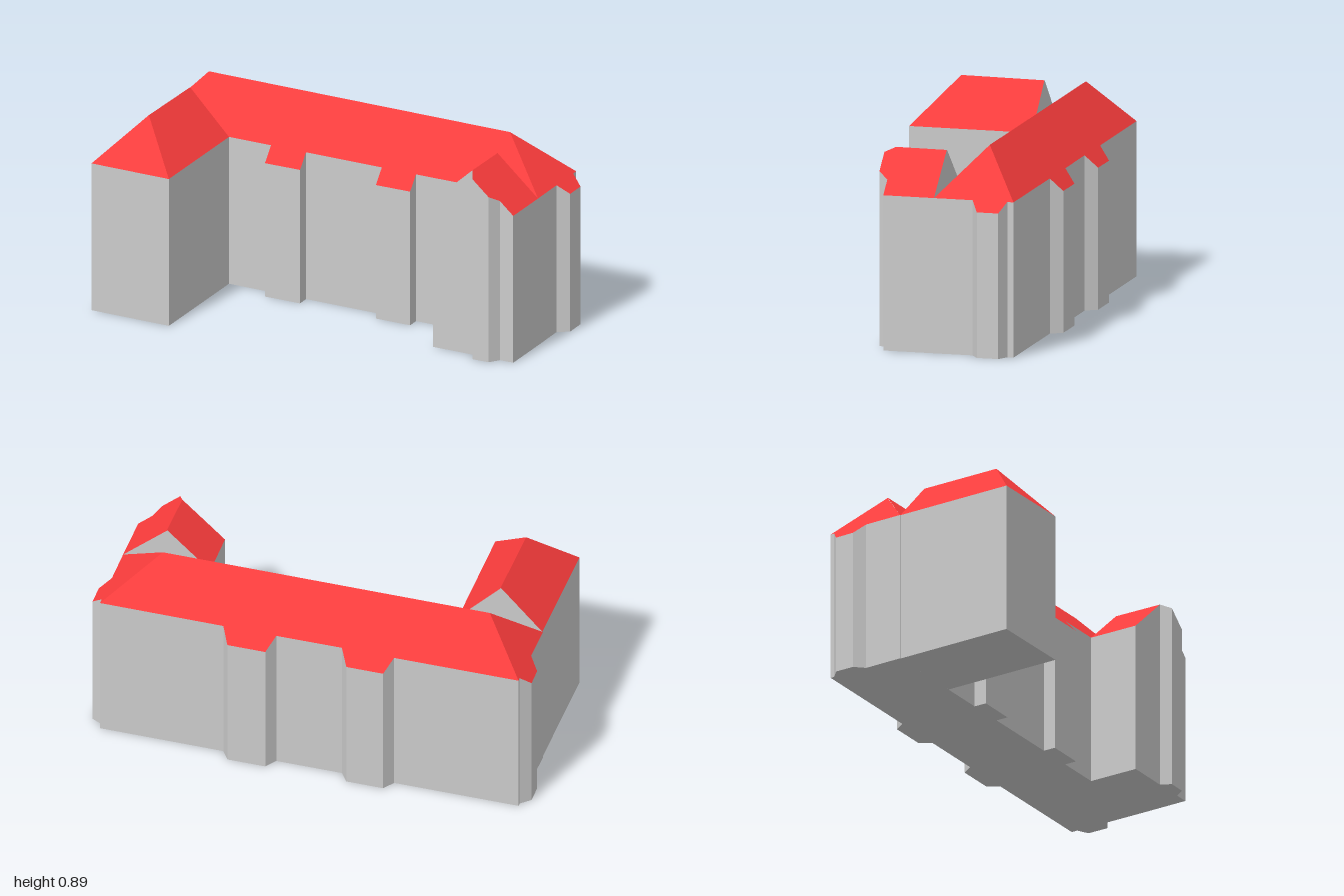
import * as THREE from 'three';

const EAVE = 0.69;
const wallMaterial = new THREE.MeshStandardMaterial({ color: 0xcccccc, flatShading: true });
const roofMaterial = new THREE.MeshStandardMaterial({ color: 0xff3d3d, flatShading: true });

// Mesh from a flat list of triangle corners
function triMesh(name, corners, material) {
  const geo = new THREE.BufferGeometry().setFromPoints(corners);
  geo.computeVertexNormals();
  const mesh = new THREE.Mesh(geo, material);
  mesh.name = name;
  return mesh;
}

// Triangulates a plan outline of [x, z] points, counterclockwise from above
function planTriangles(points) {
  const flat = points.map(([x, z]) => new THREE.Vector2(x, -z));
  return THREE.ShapeUtils.triangulateShape(flat, []);
}

// A wing of the house. Each slope has a plane through two eave points and a
// ridge point, an outer wall path in plan, and the ridge points closing it.
function buildWing(name, ridgeHeight, slopes) {
  const group = new THREE.Group();
  group.name = name;
  const walls = [], roof = [], outline = [];

  for (const { plane: [a, b, r], wall, ridge } of slopes) {
    const plane = new THREE.Plane().setFromCoplanarPoints(
      new THREE.Vector3(a[0], EAVE, a[1]),
      new THREE.Vector3(b[0], EAVE, b[1]),
      new THREE.Vector3(r[0], ridgeHeight, r[1]));
    const n = plane.normal;
    const top = ([x, z]) => new THREE.Vector3(x, -(plane.constant + n.x * x + n.z * z) / n.y, z);
    const base = ([x, z]) => new THREE.Vector3(x, 0, z);

    // Walls rise from the ground to the roof plane
    for (let i = 0; i < wall.length - 1; i++) {
      const p = wall[i], q = wall[i + 1];
      walls.push(base(p), base(q), top(q), base(p), top(q), top(p));
      outline.push(p);
    }
    // Roof slope, extended over the bays
    const points = [...wall, ...ridge];
    for (const t of planTriangles(points)) roof.push(...t.map((i) => top(points[i])));
  }

  // Underside
  for (const [i, j, k] of planTriangles(outline)) {
    for (const v of [k, j, i]) walls.push(new THREE.Vector3(outline[v][0], 0, outline[v][1]));
  }
  group.add(triMesh(name + 'Walls', walls, wallMaterial), triMesh(name + 'Roof', roof, roofMaterial));
  return group;
}

export function createModel() {
  const model = new THREE.Group();
  model.name = 'house';

  // Main range: hipped roof, bays on all four sides
  const nw = [-0.957, -0.443], sw = [-0.963, -0.08], se = [0.95, -0.06], ne = [0.95, -0.42];
  const r0 = [-0.775, -0.265], r1 = [0.715, -0.247];
  model.add(buildWing('mainRange', 0.892, [
    {
      plane: [nw, sw, r0], ridge: [r0],
      wall: [nw, [-0.957, -0.425], [-1, -0.387], [-1, -0.3], [-0.96, -0.257], sw],
    },
    {
      plane: [sw, se, r1], ridge: [r1, r0],
      wall: [sw,
        [-0.37, -0.074], [-0.37, -0.016], [-0.197, -0.015], [-0.197, -0.072],
        [0.178, -0.068], [0.178, -0.011], [0.347, -0.01], [0.347, -0.066], se],
    },
    {
      plane: [se, ne, r1], ridge: [r1],
      wall: [se, [0.95, -0.235], [1, -0.268], [1, -0.365], [0.95, -0.392], ne],
    },
    {
      plane: [ne, nw, r0], ridge: [r0, r1],
      wall: [ne,
        [0.388, -0.427], [0.355, -0.479], [0.182, -0.481], [0.147, -0.43],
        [-0.152, -0.433], [-0.187, -0.485], [-0.355, -0.487], [-0.39, -0.437], nw],
    },
  ]));

  // Long wing: hipped at the front, gabled at the back
  const lwb = [-0.96, -0.08], lwf = [-0.967, 0.475], lef = [-0.583, 0.482], leb = [-0.578, -0.076];
  const lrb = [-0.77, -0.078], lrf = [-0.776, 0.3];
  model.add(buildWing('longWing', 0.89, [
    { plane: [lwb, lwf, lrf], wall: [lrb, lwb, lwf], ridge: [lrf] },
    { plane: [lwf, lef, lrf], wall: [lwf, lef], ridge: [lrf] },
    { plane: [lef, leb, lrf], wall: [lef, leb, lrb], ridge: [lrf] },
  ]));

  // Short wing: gabled at both ends, with a bay under the outer slope
  const swb = [0.553, -0.064], swf = [0.553, 0.167], sef = [0.948, 0.17], seb = [0.95, -0.06];
  const srb = [0.75, -0.062], srf = [0.747, 0.168];
  model.add(buildWing('shortWing', 0.867, [
    { plane: [swb, swf, srf], wall: [srb, swb, swf, srf], ridge: [] },
    {
      plane: [sef, seb, srf], ridge: [],
      wall: [srf, [0.77, 0.215], [0.85, 0.215], [0.883, 0.17], sef, seb, srb],
    },
  ]));

  return model;
}
